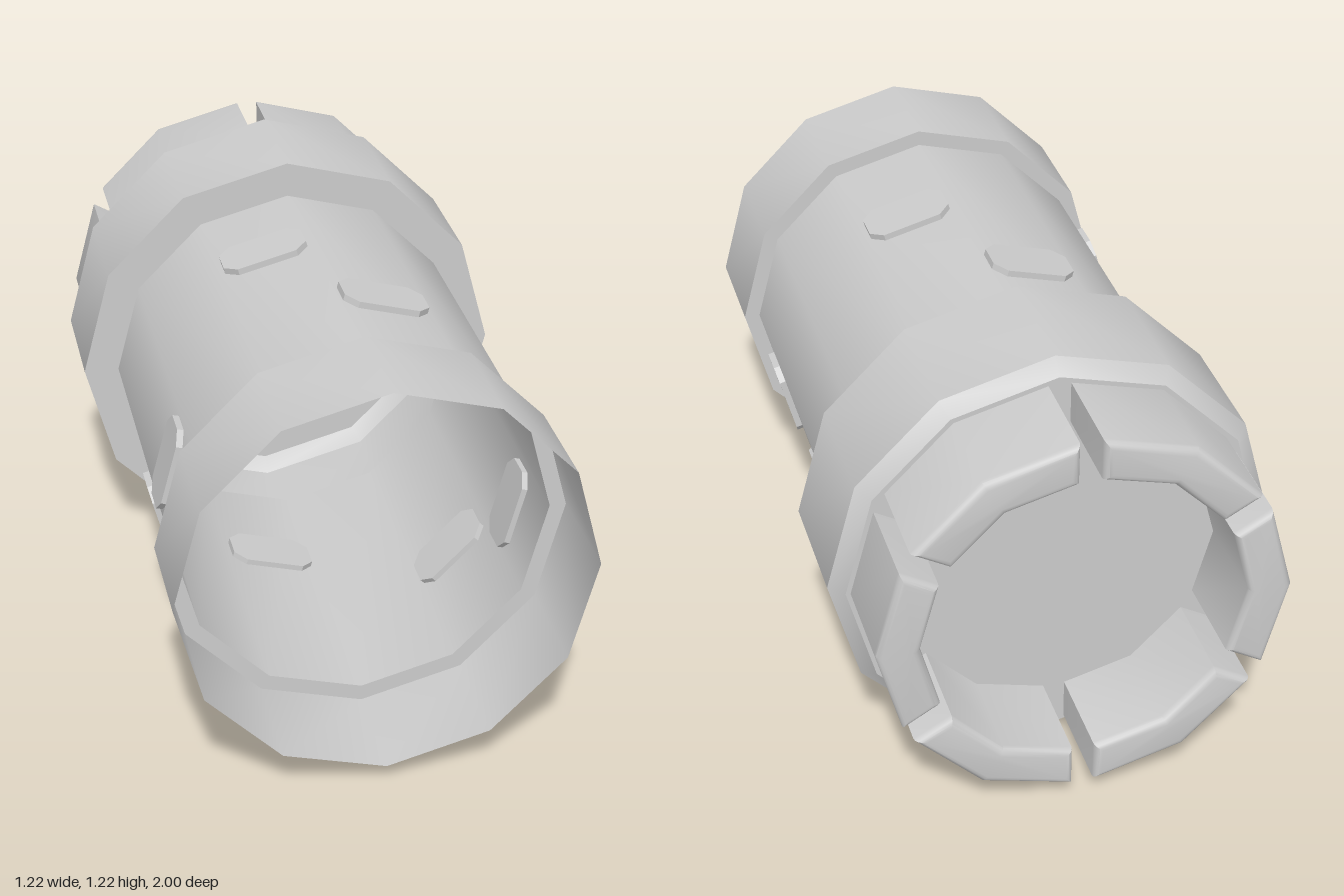
import * as THREE from 'three';
import { toCreasedNormals } from 'three/addons/utils/BufferGeometryUtils.js';

const CREASE = 0.6;
const SIDES = 12;
const AXIS_Y = 0.61; // height of the tube axis

const material = new THREE.MeshStandardMaterial({ color: 0xcccccc });
const shellMaterial = new THREE.MeshStandardMaterial({ color: 0xcccccc, side: THREE.DoubleSide });

function add(parent, name, geometry, mat = material) {
  const mesh = new THREE.Mesh(geometry, mat);
  mesh.name = name;
  parent.add(mesh);
  return mesh;
}

// Twelve-sided thin shell: closed back, collar, barrel and open front rim
function shellGeometry() {
  const profile = [
    [0, -0.72], [0.57, -0.72], [0.61, -0.68], [0.61, -0.33],
    [0.51, -0.33], [0.51, 0.69], [0.555, 0.69], [0.555, 1],
  ].map(([r, z]) => new THREE.Vector2(r, z));
  const geometry = new THREE.LatheGeometry(profile, SIDES);
  geometry.rotateX(Math.PI / 2);
  return toCreasedNormals(geometry, CREASE);
}

// Bent jaw segment, 60 degrees wide less a gap, rounded at its free end
function jawGeometry(outer, inner, length, halfGap, bevel) {
  const a = Math.PI / 6;
  const corner = (r, side) => {
    const u = r - halfGap * Math.tan(a / 2);
    return new THREE.Vector2(
      u * Math.cos(a) + halfGap * Math.sin(a),
      side * (u * Math.sin(a) - halfGap * Math.cos(a)));
  };
  const shape = new THREE.Shape([
    corner(outer, -1), new THREE.Vector2(outer, 0), corner(outer, 1),
    corner(inner, 1), new THREE.Vector2(inner, 0), corner(inner, -1),
  ]);
  const geometry = new THREE.ExtrudeGeometry(shape, {
    depth: length - bevel, bevelEnabled: true, bevelThickness: bevel,
    bevelSize: bevel, bevelOffset: -bevel, bevelSegments: 4,
  });
  // flatten the bevel on the end that meets the collar
  const pos = geometry.attributes.position;
  for (let i = 0; i < pos.count; i++) pos.setZ(i, Math.max(0, pos.getZ(i)));
  geometry.rotateY(Math.PI);
  return toCreasedNormals(geometry, CREASE);
}

// Flat plate with cut corners, passing through the barrel wall
function padGeometry(length, width, cut, inward, outward) {
  const l = length / 2, w = width / 2;
  const shape = new THREE.Shape([
    [l - cut, -w], [l, -w + cut], [l, w - cut], [l - cut, w],
    [-l + cut, w], [-l, w - cut], [-l, -w + cut], [-l + cut, -w],
  ].map(([x, y]) => new THREE.Vector2(x, y)));
  const geometry = new THREE.ExtrudeGeometry(shape, { depth: inward + outward, bevelEnabled: false });
  geometry.translate(0, 0, -inward);
  geometry.rotateX(-Math.PI / 2); // thickness now points along +y
  return geometry;
}

export function createModel() {
  const model = new THREE.Group();
  model.name = 'tubeCoupling';
  const body = new THREE.Group();
  body.name = 'body';
  body.position.y = AXIS_Y;
  model.add(body);

  add(body, 'shell', shellGeometry(), shellMaterial);

  // Ring of six jaws behind the collar
  const jaw = jawGeometry(0.557, 0.44, 0.279, 0.03, 0.022);
  for (let i = 0; i < 6; i++) {
    const mesh = add(body, 'jaw', jaw);
    mesh.position.z = -0.721;
    mesh.rotation.z = i * Math.PI / 3;
  }

  // Pads centred on barrel facets: [angle in degrees, z]
  const pad = padGeometry(0.24, 0.15, 0.035, 0.016, 0.018);
  const apothem = 0.51 * Math.cos(Math.PI / SIDES);
  const pads = [[75, 0.335], [105, -0.02], [165, 0.48], [195, 0.31],
    [255, 0.025], [315, 0.295], [345, 0.45]];
  for (const [degrees, z] of pads) {
    const angle = THREE.MathUtils.degToRad(degrees);
    const mesh = add(body, 'pad', pad);
    mesh.position.set(apothem * Math.cos(angle), apothem * Math.sin(angle), z);
    mesh.rotation.z = angle - Math.PI / 2;
  }
  return model;
}
